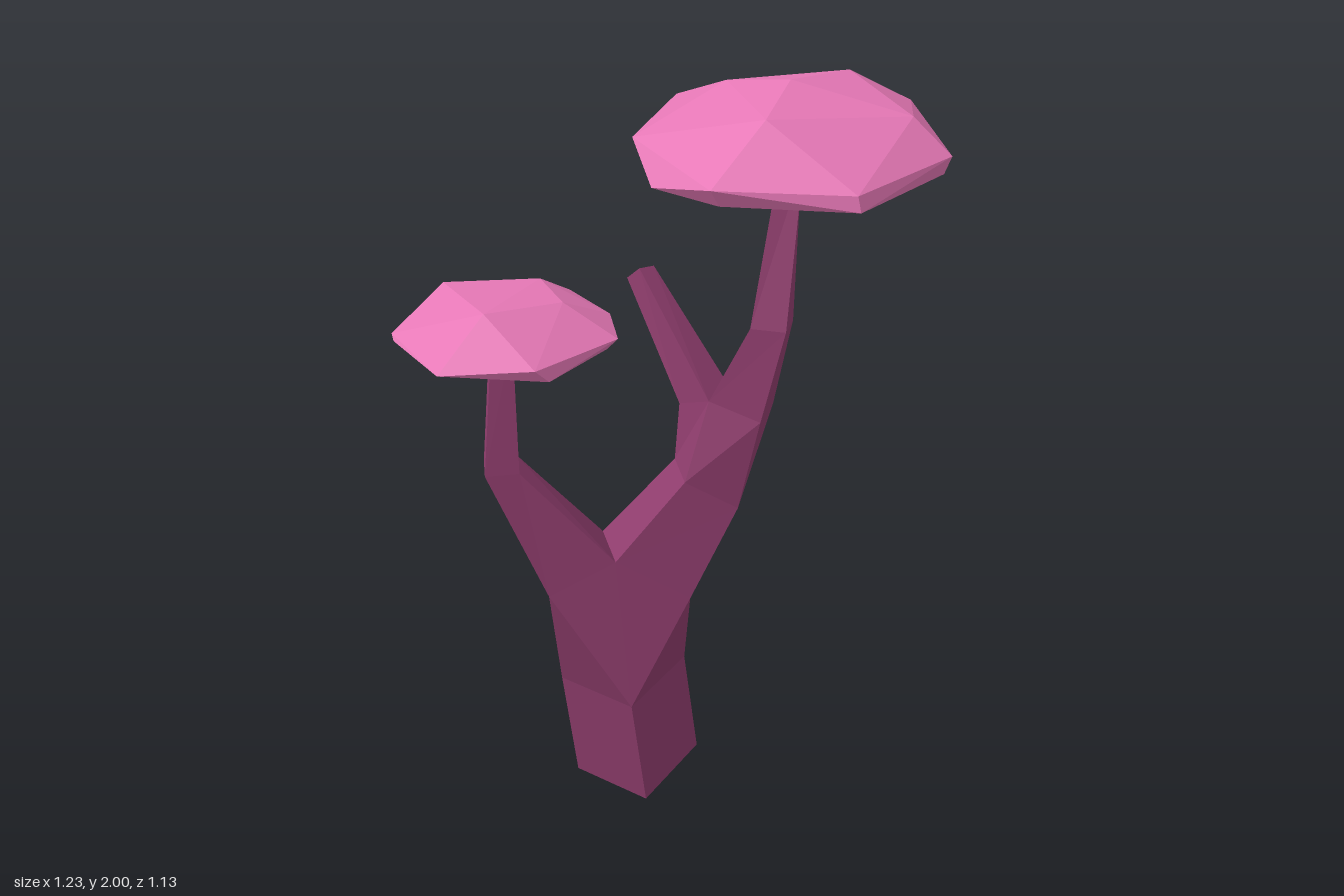
import * as THREE from 'three';
import { ConvexGeometry } from 'three/addons/geometries/ConvexGeometry.js';

const stemMat = new THREE.MeshStandardMaterial({ color: 0x8f3d6d, flatShading: true });
const capMat = new THREE.MeshStandardMaterial({ color: 0xe678b6, flatShading: true });

// Mesh from four-cornered rings and single triangles
function facetMesh(name, build) {
  const pos = [];
  const tri = (...p) => p.forEach(v => pos.push(...v));
  const quad = (a, b, c, d) => { tri(a, b, c); tri(a, c, d); };
  const loft = (...rings) => {
    for (let r = 0; r + 1 < rings.length; r++)
      for (let i = 0; i < 4; i++) {
        const j = (i + 1) % 4;
        quad(rings[r][i], rings[r][j], rings[r + 1][j], rings[r + 1][i]);
      }
  };
  build(tri, quad, loft);
  const geo = new THREE.BufferGeometry();
  geo.setAttribute('position', new THREE.Float32BufferAttribute(pos, 3));
  geo.computeVertexNormals();
  const mesh = new THREE.Mesh(geo, stemMat);
  mesh.name = name;
  return mesh;
}

// Faceted dome: hull of crown, rim and flat underside points
function cap(name, ...layers) {
  const pts = layers.flat().map(p => new THREE.Vector3(...p));
  const mesh = new THREE.Mesh(new ConvexGeometry(pts), capMat);
  mesh.name = name;
  return mesh;
}

export function createModel() {
  const group = new THREE.Group();
  group.name = 'branchingMushroom';

  // Trunk rings, ordered front-left, front-right, back-right, back-left
  const base = [[-0.145, 0, 0.01], [0.09, 0.05, 0.01], [0.09, 0.05, -0.23], [-0.145, 0, -0.23]];
  const neck = [[-0.205, 0.335, 0.01], [0.03, 0.375, 0.01], [0.03, 0.375, -0.23], [-0.205, 0.335, -0.23]];
  const [a, b, c, d] = neck;

  // Lower fork: the two branches share the crotch edge c1-c2
  const c1 = [-0.19, 0.755, -0.05], c2 = [-0.08, 0.755, -0.18];
  const p1 = [-0.065, 0.64, 0.10], p2 = [0.09, 0.64, -0.035];
  const q1 = [-0.32, 0.67, -0.17], q2 = [-0.18, 0.65, -0.295];

  // Upper fork: main branch and stub share the crotch edge k1-k2
  const mid = [[0.04, 0.89, 0.175], [0.15, 0.9, 0.065], [0.04, 0.97, -0.03], [-0.05, 0.97, 0.07]];
  const [f, r, k, l] = mid;
  const f2 = [0.07, 1.14, 0.22], r2 = [0.185, 1.14, 0.18];
  const k1 = [0.14, 1.18, 0.065], k2 = [0.025, 1.18, 0.09];
  const t1 = [0.14, 1.1, -0.01], t2 = [0.06, 1.125, -0.03];

  group.add(facetMesh('trunk', (tri, quad, loft) => {
    quad(base[3], base[2], base[1], base[0]);
    loft(base, neck);
    tri(a, b, p1); tri(b, p2, p1); tri(b, c, p2); tri(c, c2, p2); tri(c, q2, c2);
    tri(c, d, q2); tri(d, q1, q2); tri(d, a, q1); tri(a, c1, q1); tri(a, p1, c1);
  }));

  group.add(facetMesh('tallBranch', (tri, quad, loft) => {
    loft([p1, p2, c2, c1], mid);
    quad(f, r, r2, f2); tri(r, t1, k1); tri(r, k1, r2);
    quad(r, k, t2, t1); quad(k, l, k2, t2); quad(l, f, f2, k2);
    const bend = [[0.11, 1.39, 0.265], [0.185, 1.39, 0.235], [0.15, 1.39, 0.155], [0.075, 1.39, 0.18]];
    const top = [[0.215, 1.81, 0.235], [0.26, 1.81, 0.2], [0.235, 1.81, 0.155], [0.185, 1.81, 0.185]];
    loft([f2, r2, k1, k2], bend, top);
    quad(...top);
  }));

  group.add(facetMesh('stubBranch', (tri, quad, loft) => {
    const tip = [[0.12, 1.44, -0.205], [0.175, 1.43, -0.2], [0.175, 1.4, -0.24], [0.125, 1.4, -0.25]];
    loft([k2, k1, t1, t2], tip);
    quad(...tip);
  }));

  group.add(facetMesh('shortBranch', (tri, quad, loft) => {
    const bend = [[-0.34, 1.02, -0.24], [-0.28, 1.03, -0.3], [-0.34, 1.02, -0.36], [-0.405, 1.02, -0.3]];
    const top = [[-0.303, 1.38, -0.28], [-0.265, 1.38, -0.317], [-0.303, 1.38, -0.355], [-0.34, 1.38, -0.317]];
    loft([c1, c2, q2, q1], bend, top);
    quad(...top);
  }));

  group.add(cap('largeCap',
    [[0.23, 2, 0.18], [0.025, 1.97, 0.25], [0.455, 1.97, 0.205], [0.205, 1.97, 0.005], [0.34, 1.935, 0.465]],
    [[-0.175, 1.85, 0.235], [-0.04, 1.87, -0.1], [0.28, 1.87, -0.205], [0.56, 1.87, -0.05],
      [0.6, 1.87, 0.3], [0.61, 1.82, 0.3], [0.36, 1.85, 0.567], [0.025, 1.84, 0.515]],
    [[-0.14, 1.8, 0.235], [-0.14, 1.8, 0.035], [0.175, 1.8, -0.213], [0.55, 1.8, -0.03],
      [0.59, 1.8, 0.3], [0.36, 1.8, 0.547], [0.025, 1.8, 0.525]]));

  group.add(cap('smallCap',
    [[-0.44, 1.5, -0.25], [-0.235, 1.48, -0.17], [-0.32, 1.48, -0.49], [-0.155, 1.48, -0.31]],
    [[-0.615, 1.4, -0.25], [-0.53, 1.4, -0.47], [-0.515, 1.41, -0.49], [-0.245, 1.385, -0.567],
      [-0.05, 1.41, -0.425], [-0.025, 1.4, -0.32], [-0.08, 1.4, -0.145], [-0.187, 1.4, -0.035], [-0.47, 1.41, -0.065]],
    [[-0.51, 1.37, -0.27], [-0.5, 1.37, -0.47], [-0.245, 1.37, -0.56], [-0.06, 1.37, -0.42],
      [-0.04, 1.37, -0.31], [-0.09, 1.37, -0.14], [-0.2, 1.37, -0.06], [-0.43, 1.37, -0.055]]));

  return group;
}
